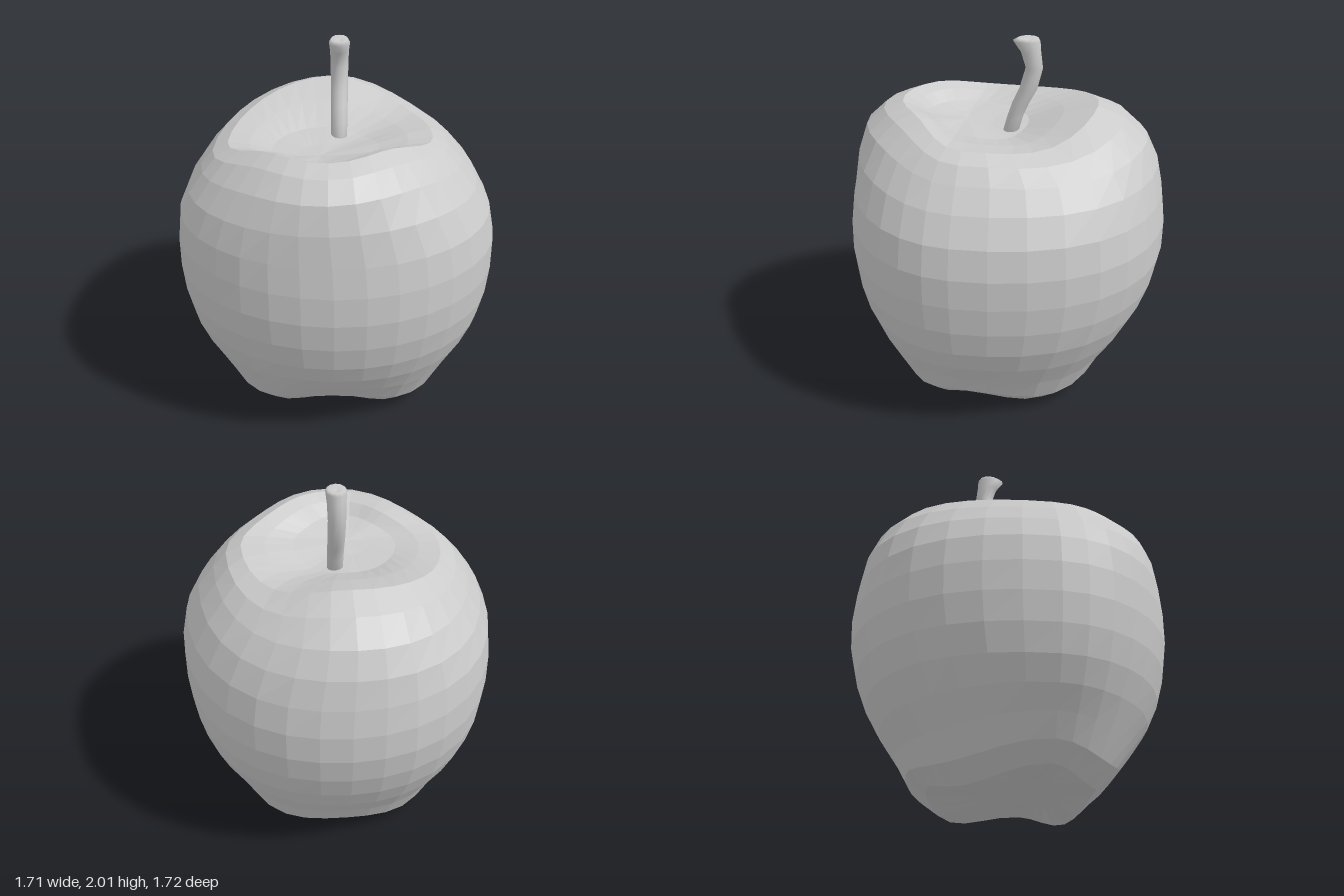
import * as THREE from 'three';

const { smoothstep, lerp } = THREE.MathUtils;
const grey = (flatShading) => new THREE.MeshStandardMaterial({ color: 0xcccccc, flatShading });
const spline = (points) => new THREE.SplineCurve(points.map(([a, b]) => new THREE.Vector2(a, b)));

// Skins a stack of rings whose first and last rings are collapsed to a point.
// pointAt(u, angle) returns [x, y, z], with u running from 0 to 1 along the surface.
function loft(spans, sides, pointAt) {
  const pos = [], index = [];
  for (let i = 0; i <= spans; i++)
    for (let j = 0; j < sides; j++) pos.push(...pointAt(i / spans, (j / sides) * Math.PI * 2));
  for (let i = 0; i < spans; i++)
    for (let j = 0; j < sides; j++) {
      const a = i * sides + j, b = i * sides + (j + 1) % sides;
      const c = a + sides, d = b + sides;
      if (i > 0) index.push(a, c, b);
      if (i < spans - 1) index.push(b, c, d);
    }
  const g = new THREE.BufferGeometry();
  g.setAttribute('position', new THREE.Float32BufferAttribute(pos, 3));
  g.setIndex(index);
  g.computeVertexNormals();
  return g;
}

// Fruit: three matching profiles, from the hollow underneath round to the dish on top
function createBody() {
  const side = spline([[0, 0.1], [0.49, 0.08], [0.67, 0.29], [0.8, 0.53], [0.855, 0.84],
    [0.835, 1.16], [0.69, 1.41], [0.54, 1.535], [0.28, 1.505], [0, 1.49]]);
  const front = spline([[0.14, 0.1], [0.47, 0.1], [0.67, 0.3], [0.8, 0.53], [0.86, 0.84],
    [0.84, 1.17], [0.78, 1.49], [0.58, 1.62], [0.45, 1.535], [0.24, 1.49]]);
  const back = spline([[0.14, 0.1], [-0.43, 0.07], [-0.6, 0.25], [-0.77, 0.53], [-0.86, 0.84],
    [-0.845, 1.16], [-0.75, 1.46], [-0.48, 1.635], [-0.1, 1.495], [0.24, 1.49]]);

  const point = (u, t) => {
    const c = Math.cos(t), s = Math.sin(t), diagonal = Math.sin(2 * t) ** 2;
    const across = side.getPoint(u), along = (s > 0 ? front : back).getPoint(u);
    const foot = 1 - smoothstep(u, 1 / 9, 3 / 9);
    const rim = smoothstep(u, 5 / 9, 7 / 9);
    const dish = smoothstep(u, 7 / 9, 1);
    const cz = 0.14 + 0.1 * dish;
    // rim narrows towards the front, fuller cheeks at the back
    const reach = 1 + diagonal * (s > 0 ? -0.14 * rim : 0.035 * (1 - rim) * (1 - foot));
    let x = c * across.x * reach;
    let y = lerp(across.y, along.y, s * s);
    const z = cz + Math.abs(s) * (along.x - cz) * reach;
    // four lobes at the foot
    y -= 0.08 * foot * Math.min(1, across.x / 0.49) ** 2 * diagonal;
    // rim raised at the front corners, dipping at the back left
    const lift = s > 0 ? 0.03 : c > 0 ? -0.055 : 0;
    y += lift * diagonal * rim * (1 - dish);
    // slight lean of the shoulders, and the off-centre dish
    const lean = smoothstep(y, 1, 1.5);
    y += 0.035 * lean * x;
    x -= 0.03 * lean + 0.05 * dish;
    return [x, y, z];
  };
  const mesh = new THREE.Mesh(loft(18, 32, point), grey(true));
  mesh.name = 'fruitBody';
  return mesh;
}

// Stem: bent, flaring at the tip
function createStem() {
  // centre z, radius x, radius z, height
  const rings = [
    [-0.01, 0, 0, 1.45],
    [-0.01, 0.042, 0.042, 1.45],
    [-0.04, 0.044, 0.042, 1.56],
    [-0.07, 0.045, 0.045, 1.64],
    [-0.11, 0.046, 0.048, 1.72],
    [-0.142, 0.047, 0.046, 1.84],
    [-0.122, 0.05, 0.055, 1.93],
    [-0.1, 0.056, 0.073, 1.985],
    [-0.11, 0.045, 0.055, 2],
    [-0.11, 0, 0, 1.985],
  ];
  const spans = rings.length - 1;
  const point = (u, t) => {
    const [cz, rx, rz, y] = rings[Math.round(u * spans)];
    return [0.015 + rx * Math.cos(t), y, cz + rz * Math.sin(t)];
  };
  const mesh = new THREE.Mesh(loft(spans, 12, point), grey(false));
  mesh.name = 'stem';
  return mesh;
}

export function createModel() {
  const group = new THREE.Group();
  group.name = 'apple';
  group.add(createBody(), createStem());
  return group;
}
